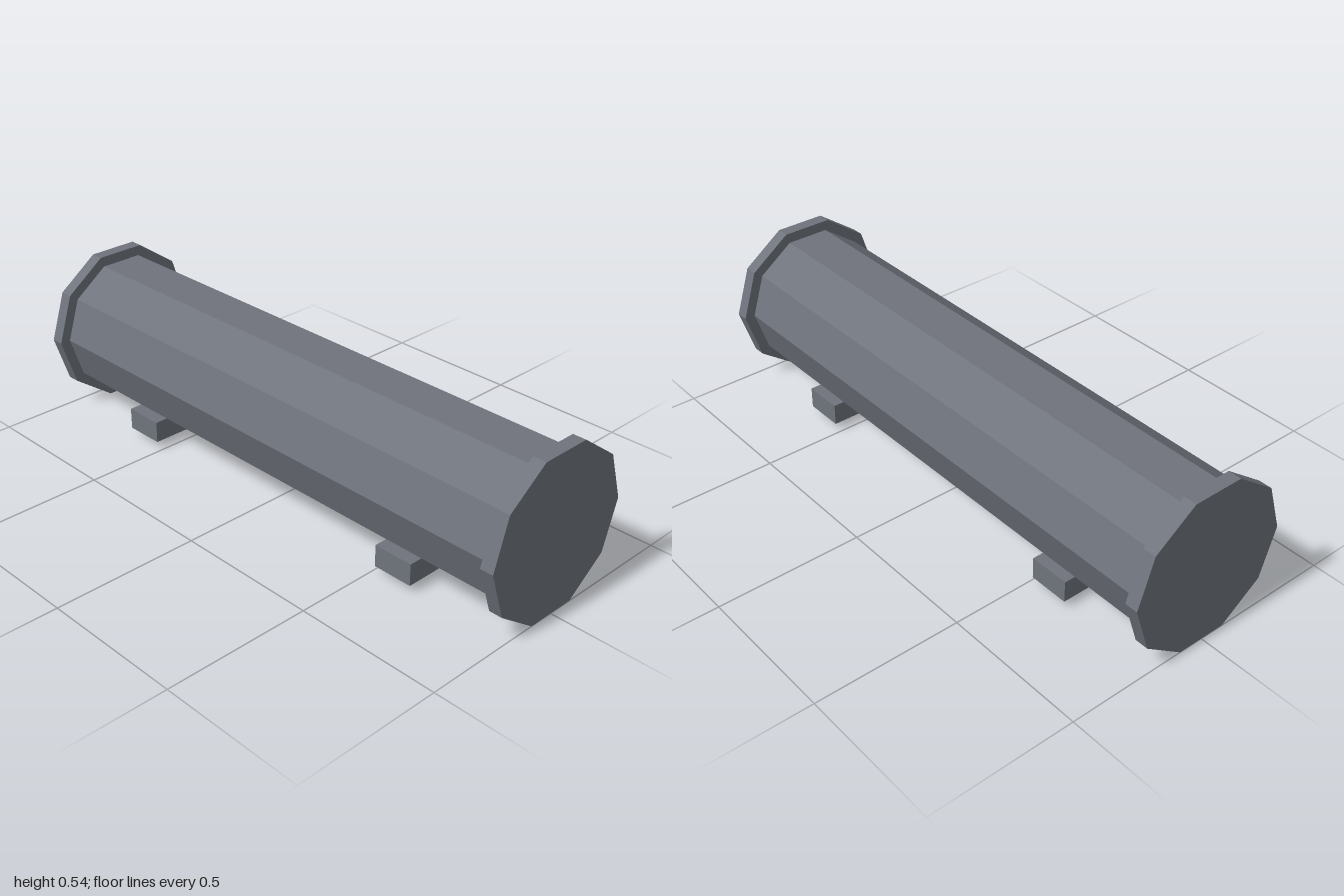
import * as THREE from 'three';

export function createModel() {
  const group = new THREE.Group();
  const steel = new THREE.MeshStandardMaterial({ color: 0x6f737c, flatShading: true });
  steel.name = 'blue grey steel';

  const SIDES = 10;
  const CAP_RADIUS = 0.2825;
  const CAP_WIDTH = 0.045;
  const axisY = CAP_RADIUS * Math.cos(Math.PI / SIDES); // caps rest on a flat side

  const add = (name, geometry, x, y) => {
    const mesh = new THREE.Mesh(geometry, steel);
    mesh.name = name;
    mesh.position.set(x, y, 0);
    group.add(mesh);
  };

  // Ten-sided prism lying along x
  const prism = (radius, length) =>
    new THREE.CylinderGeometry(radius, radius, length, SIDES).rotateZ(Math.PI / 2);

  // Tank body
  add('tankBody', prism(0.245, 2 - 2 * CAP_WIDTH), 0, axisY);

  // End caps and support bars, mirrored left and right
  for (const [side, s] of [['left', 1], ['right', -1]]) {
    add(side + 'EndCap', prism(CAP_RADIUS, CAP_WIDTH), s * (1 - CAP_WIDTH / 2), axisY);
    add(side + 'SupportBar', new THREE.BoxGeometry(0.14, 0.075, 0.438), s * 0.585, 0.0645);
  }

  return group;
}
